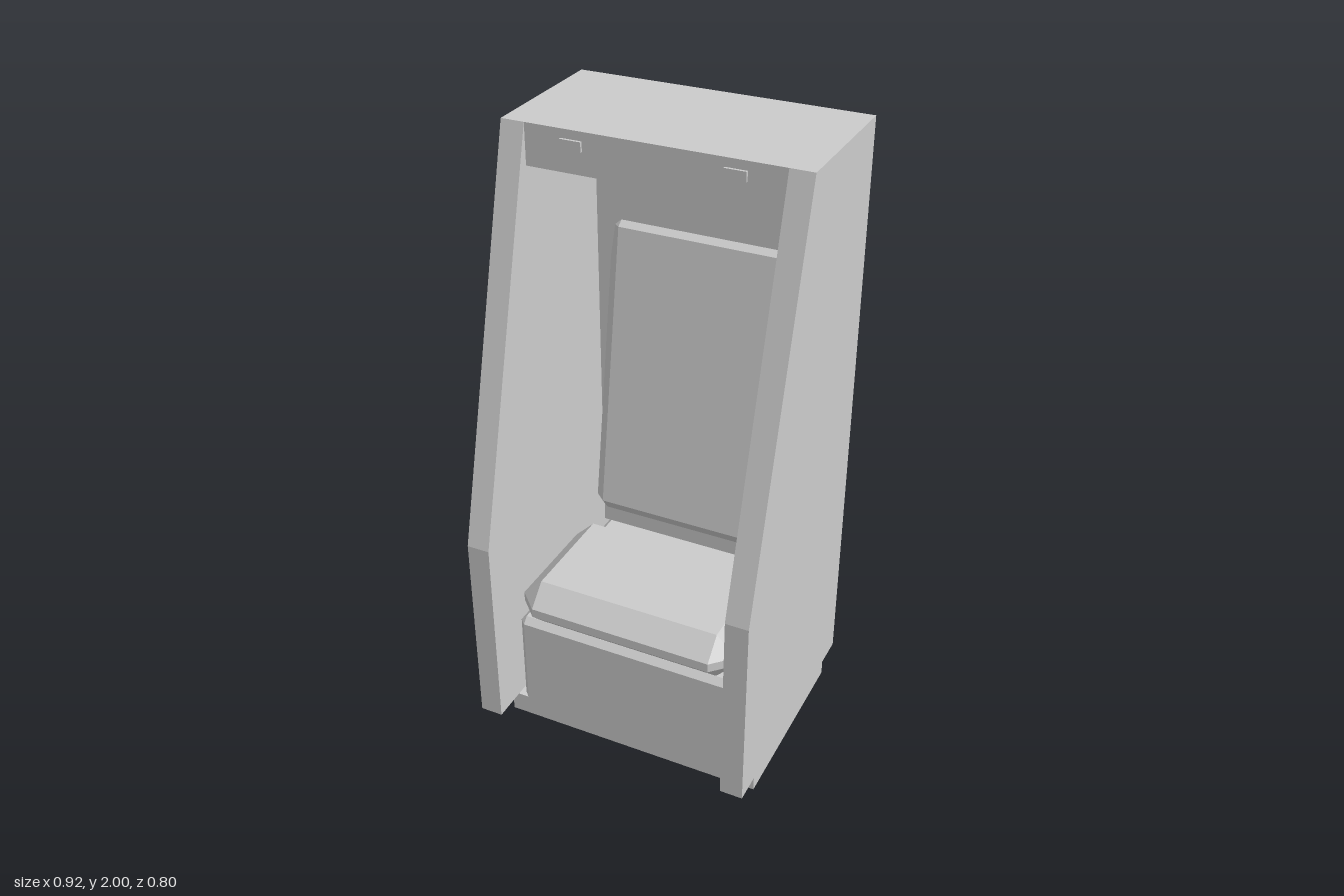
import * as THREE from 'three';
import { ConvexGeometry } from 'three/addons/geometries/ConvexGeometry.js';

const material = new THREE.MeshStandardMaterial({ color: 0xcccccc, flatShading: true });

// Box with every edge chamfered by c
function chamferBox(w, h, d, c) {
  const points = [];
  for (const sx of [-1, 1]) for (const sy of [-1, 1]) for (const sz of [-1, 1]) {
    const x = w / 2, y = h / 2, z = d / 2;
    points.push(
      new THREE.Vector3(sx * x, sy * (y - c), sz * (z - c)),
      new THREE.Vector3(sx * (x - c), sy * y, sz * (z - c)),
      new THREE.Vector3(sx * (x - c), sy * (y - c), sz * z)
    );
  }
  return new ConvexGeometry(points);
}

export function createModel() {
  const group = new THREE.Group();

  const add = (name, geometry, x, y, z) => {
    const mesh = new THREE.Mesh(geometry, material);
    mesh.name = name;
    mesh.position.set(x, y, z);
    group.add(mesh);
    return mesh;
  };
  // Plain box given by its y and z limits, centred on x
  const slab = (name, w, y0, y1, z0, z1, x = 0) =>
    add(name, new THREE.BoxGeometry(w, y1 - y0, z1 - z0), x, (y0 + y1) / 2, (z0 + z1) / 2);

  // Plinth and base under the seat
  slab('plinth', 0.874, 0, 0.07, -0.37, 0.245);
  add('seatBase', chamferBox(0.77, 0.35, 0.66, 0.02), 0, 0.245, -0.065);

  // Side walls: sloped front profile in (z, y), extruded across x
  const profile = new THREE.Shape(
    [[-0.4, 0.115], [0.4, 0.115], [0.4, 0.77], [0.065, 2], [-0.4, 2]]
      .map(([z, y]) => new THREE.Vector2(-z, y))
  );
  const thickness = 0.073;
  const wall = new THREE.ExtrudeGeometry(profile, { depth: thickness, bevelEnabled: false });
  wall.translate(0, 0, -thickness / 2);
  wall.rotateY(Math.PI / 2);
  for (const [name, s] of [['leftWall', 1], ['rightWall', -1]]) add(name, wall, s * 0.4235, 0, 0);

  // Back panel and roof
  slab('backPanel', 0.774, 0.425, 1.875, -0.4, -0.34);
  slab('roof', 0.774, 1.875, 2, -0.4, 0.065);

  // Small lamps on the roof front
  for (const s of [-1, 1]) slab('lamp', 0.065, 1.943, 1.973, 0.05, 0.073, s * 0.242);

  // Seat cushion
  add('seatCushion', chamferBox(0.73, 0.16, 0.475, 0.065), 0, 0.505, 0.077);

  // Backrest cushion, leaning back into the panel
  const tilt = THREE.MathUtils.degToRad(9), depth = 0.08;
  const backrest = add('backrestCushion', chamferBox(0.684, 1.016, depth, 0.039), 0,
    1.093 - Math.sin(tilt) * depth / 2, -0.245 - Math.cos(tilt) * depth / 2);
  backrest.rotation.x = -tilt;

  return group;
}
